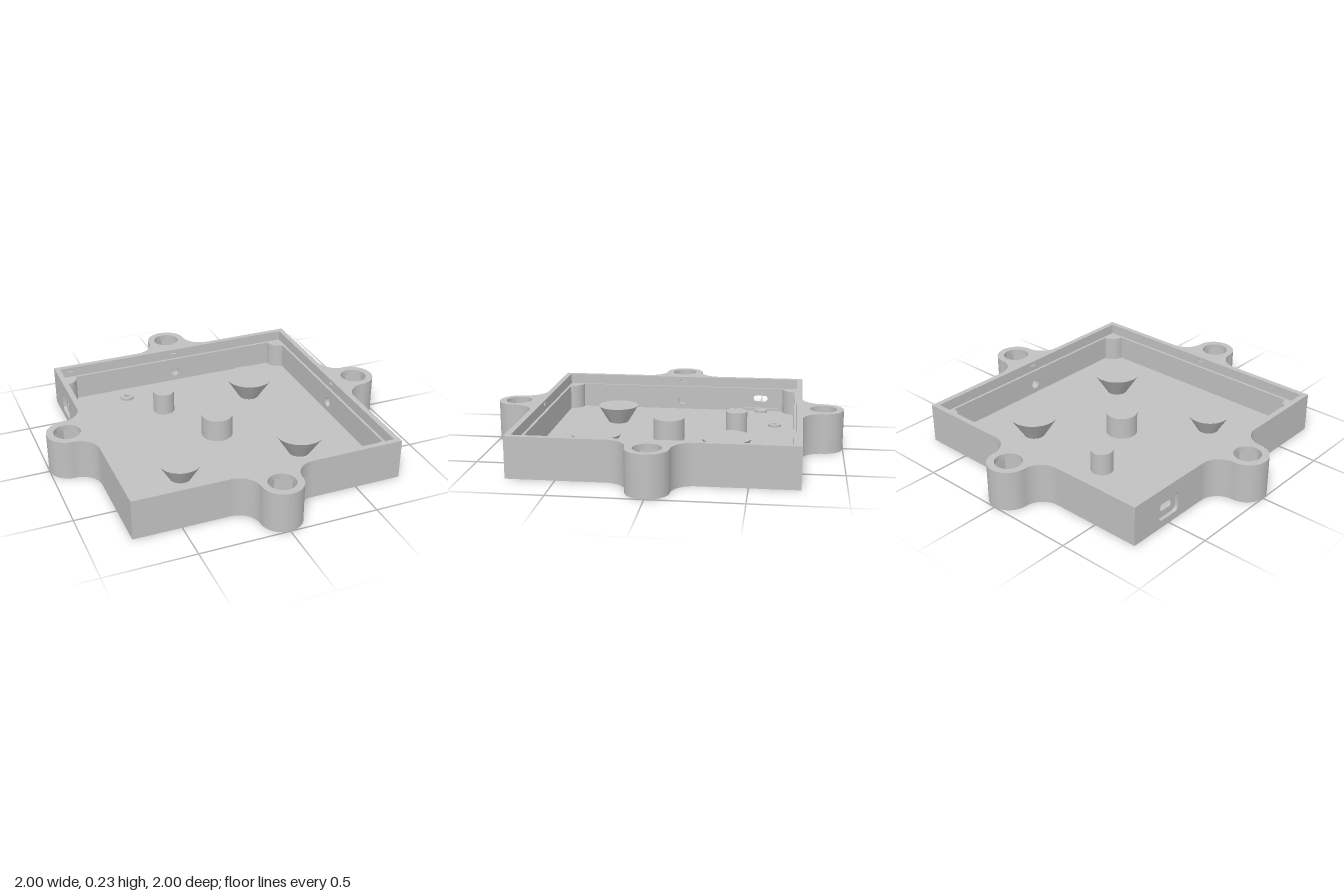
import * as THREE from 'three';
import { toCreasedNormals } from 'three/addons/utils/BufferGeometryUtils.js';

const grey = new THREE.MeshStandardMaterial({ color: 0xc0c0c0 });
grey.name = 'grey plastic';

const OUT = 0.767, LIP = 0.735, INNER = 0.72, MID = 0.747;
const TOP = 0.23, LEDGE = 0.17, FLOOR = 0.023;

function mesh(name, geometry, parent) {
  const m = new THREE.Mesh(geometry, grey);
  m.name = name;
  parent.add(m);
  return m;
}

function extrude(shape, depth) {
  return toCreasedNormals(
    new THREE.ExtrudeGeometry(shape, { depth, bevelEnabled: false, curveSegments: 24 }), 0.5);
}

// Extrude a plan drawn in x/z upwards from y0 to y1
function slab(shape, y0, y1) {
  return extrude(shape, y1 - y0).rotateX(Math.PI / 2).translate(0, y1, 0);
}

function rect(x0, y0, x1, y1) {
  return new THREE.Shape([[x0, y0], [x1, y0], [x1, y1], [x0, y1]].map(p => new THREE.Vector2(...p)));
}

function roundRect(cx, cy, w, h, r) {
  const s = new THREE.Shape(), x = w / 2 - r, y = h / 2 - r;
  s.absarc(cx + x, cy + y, r, 0, Math.PI / 2);
  s.absarc(cx - x, cy + y, r, Math.PI / 2, Math.PI);
  s.absarc(cx - x, cy - y, r, Math.PI, Math.PI * 1.5);
  s.absarc(cx + x, cy - y, r, Math.PI * 1.5, Math.PI * 2);
  s.closePath();
  return s;
}

function circle(x, y, r) {
  return new THREE.Shape().absarc(x, y, r, 0, Math.PI * 2);
}

// One side wall in three layers, so holes, notches and pockets are real recesses
function wall(name, angle, alongX, { wire = true, notches = [0], port = null }) {
  const g = new THREE.Group();
  g.name = name;
  const layer = (part, d1, d2, top, holes) => {
    const half = alongX ? d1 : d2;
    const s = rect(-half, 0, half, top);
    s.holes.push(...holes);
    if (wire) s.holes.push(circle(0, 0.08, 0.028));
    mesh(part, extrude(s, d2 - d1).translate(0, 0, d1), g);
  };
  layer('outerSkin', MID, OUT, TOP, port === null ? [] : [roundRect(port, 0.1, 0.15, 0.115, 0.025)]);
  const midHoles = notches.map(u => rect(u - 0.018, 0.2, u + 0.018, 0.217));
  if (port !== null) midHoles.push(roundRect(port, 0.1, 0.09, 0.04, 0.0199));
  layer('lip', LIP, MID, TOP, midHoles);
  layer('innerLedge', INNER, LIP, LEDGE, port === null ? [] : [rect(port - 0.11, 0.04, port + 0.11, 0.158)]);
  g.rotation.y = angle;
  return g;
}

// Mounting ear with filleted neck, round hole and hexagonal nut pocket below
function earPlan() {
  const r = 0.115, c = 0.885, f = c - OUT;
  const s = new THREE.Shape();
  s.moveTo(-r - f, OUT);
  s.lineTo(r + f, OUT);
  s.absarc(r + f, c, f, -Math.PI / 2, -Math.PI, true);
  s.absarc(0, c, r, 0, Math.PI, false);
  s.absarc(-r - f, c, f, 0, -Math.PI / 2, true);
  return s;
}

function ear(angle, hexTurn) {
  const g = new THREE.Group();
  g.name = 'mountingEar';
  const rim = earPlan(), body = earPlan();
  rim.holes.push(circle(0, 0.885, 0.075));
  const hex = [];
  for (let i = 0; i < 6; i++) {
    const a = hexTurn + i * Math.PI / 3;
    hex.push(new THREE.Vector2(0.095 * Math.cos(a), 0.885 + 0.095 * Math.sin(a)));
  }
  body.holes.push(new THREE.Path(hex));
  mesh('earRim', slab(rim, 0.2, TOP), g);
  mesh('earBody', slab(body, 0, 0.2), g);
  g.rotation.y = angle;
  return g;
}

export function createModel() {
  const model = new THREE.Group();
  model.name = 'enclosureTray';

  // Floor with two screw holes
  const bosses = [[-0.36, -0.605, true], [-0.7, -0.35, true], [-0.7, -0.51, false]];
  const floor = rect(-INNER, -INNER, INNER, INNER);
  for (const [x, z, drilled] of bosses) if (drilled) floor.holes.push(circle(x, z, 0.016));
  mesh('floor', slab(floor, 0, FLOOR), model);

  // Low screw bosses
  for (const [x, z, drilled] of bosses) {
    const ring = circle(x, z, 0.04);
    if (drilled) ring.holes.push(circle(x, z, 0.016));
    mesh('screwBoss', slab(ring, FLOOR, 0.038), model);
  }

  // Walls
  const q = Math.PI / 2;
  model.add(wall('frontWall', 0, true, { wire: false }));
  model.add(wall('leftWall', q, false, {}));
  model.add(wall('backWall', 2 * q, true, { notches: [0, 0.67] }));
  model.add(wall('rightWall', -q, false, { port: -0.505 }));

  // Ears, with every nut pocket pointing the same way
  for (let i = 0; i < 4; i++) model.add(ear(i * q, i % 2 ? 0 : Math.PI / 6));

  // Quarter-round corner posts
  [[-1, -1], [-1, 1], [1, 1], [1, -1]].forEach(([sx, sz], i) => {
    const h = LEDGE - FLOOR;
    mesh('cornerPost', new THREE.CylinderGeometry(0.075, 0.075, h, 12, 1, false, i * q, q), model)
      .position.set(sx * INNER, FLOOR + h / 2, sz * INNER);
  });

  // Pillars and flared supports: x, z, top radius, bottom radius, top height
  const supports = [
    ['centrePillar', 0, 0, 0.09, 0.09, 0.153],
    ['smallPillar', -0.195, -0.382, 0.063, 0.063, 0.153],
    ['flaredSupport', 0.358, -0.36, 0.142, 0.06, 0.15],
    ['flaredSupport', 0.358, 0.358, 0.142, 0.06, 0.15],
    ['flaredSupport', -0.36, 0.358, 0.122, 0.06, 0.125],
  ];
  for (const [name, x, z, rt, rb, top] of supports) {
    mesh(name, new THREE.CylinderGeometry(rt, rb, top - FLOOR, 48), model)
      .position.set(x, (top + FLOOR) / 2, z);
  }
  return model;
}
